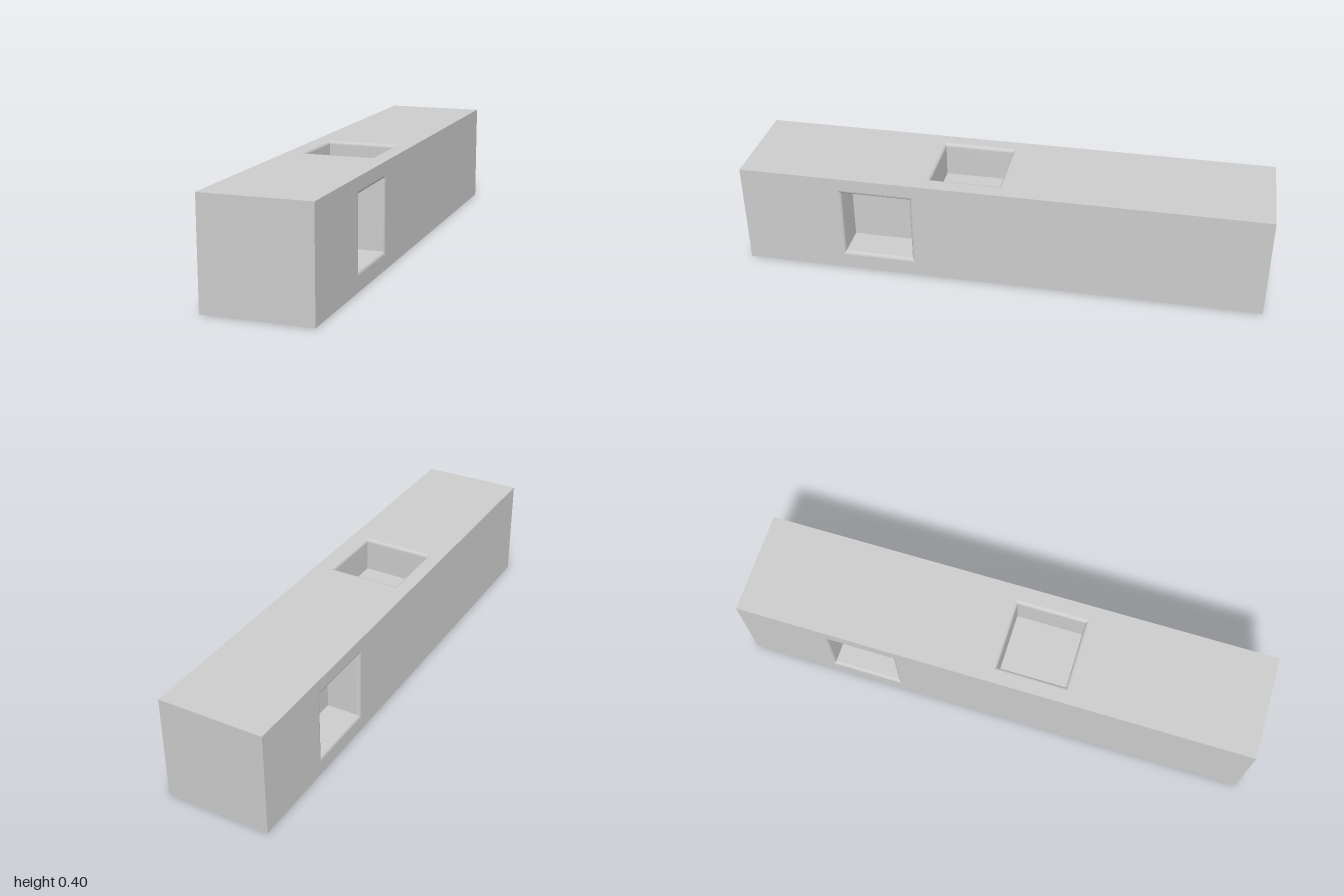
import * as THREE from 'three';

const SIZE = 0.4, LENGTH = 2;
const HALF = 0.133, DEPTH = 0.133, FILLET = 0.013; // square recess

const material = new THREE.MeshStandardMaterial({ color: 0xcccccc });

function addMesh(parent, name, geometry) {
  const mesh = new THREE.Mesh(geometry, material);
  mesh.name = name;
  parent.add(mesh);
  return mesh;
}

function rectangle(path, w, h, x = 0, y = 0) {
  return path.moveTo(x - w / 2, y - h / 2).lineTo(x + w / 2, y - h / 2)
    .lineTo(x + w / 2, y + h / 2).lineTo(x - w / 2, y + h / 2).closePath();
}

// Four walls with a rounded lip; corners between the walls stay sharp
function recessWalls() {
  const profile = [];
  const steps = 5;
  for (let i = 0; i <= steps; i++) {
    const a = (i / steps) * Math.PI / 2;
    profile.push([HALF + FILLET * (1 - Math.sin(a)), -FILLET * (1 - Math.cos(a))]);
  }
  profile.push([HALF, -DEPTH]);
  const positions = [], index = [];
  for (let side = 0; side < 4; side++) {
    const c = Math.round(Math.cos(side * Math.PI / 2)), s = Math.round(Math.sin(side * Math.PI / 2));
    const start = positions.length / 3;
    profile.forEach(([r, z], i) => {
      for (const t of [-r, r]) positions.push(c * r - s * t, s * r + c * t, z);
      if (i === 0) return;
      const b = start + 2 * i, a = b - 2;
      index.push(a, a + 1, b, a + 1, b + 1, b);
    });
  }
  const geometry = new THREE.BufferGeometry();
  geometry.setAttribute('position', new THREE.Float32BufferAttribute(positions, 3));
  geometry.setIndex(index);
  geometry.computeVertexNormals();
  return geometry;
}

// One flat side of the beam, facing its local +z, with an optional recess
function beamSide({ name, w, h, out, rx = 0, ry = 0, recess }) {
  const side = new THREE.Group();
  side.name = name;
  side.rotation.set(rx, ry, 0);
  const shape = rectangle(new THREE.Shape(), w, h);
  if (recess) {
    const opening = 2 * (HALF + FILLET);
    shape.holes.push(rectangle(new THREE.Path(), opening, opening, ...recess));
    const walls = addMesh(side, 'recessWalls', recessWalls());
    walls.position.set(...recess, out);
    const floor = addMesh(side, 'recessFloor', new THREE.PlaneGeometry(2 * HALF, 2 * HALF));
    floor.position.set(...recess, out - DEPTH);
  }
  addMesh(side, 'panel', new THREE.ShapeGeometry(shape)).position.z = out;
  return side;
}

export function createModel() {
  const beam = new THREE.Group();
  beam.name = 'beam';
  const q = Math.PI / 2, s = SIZE, l = LENGTH;
  const sides = [
    { name: 'frontEnd', w: s, h: s, out: l / 2 },
    { name: 'backEnd', w: s, h: s, out: l / 2, ry: Math.PI },
    { name: 'leftSide', w: l, h: s, out: s / 2, ry: q, recess: [-0.472, 0.005] },
    { name: 'rightSide', w: l, h: s, out: s / 2, ry: -q, recess: [-0.517, 0.005] },
    { name: 'topSide', w: s, h: l, out: s / 2, rx: -q, recess: [-0.003, -0.14] },
    { name: 'bottomSide', w: s, h: l, out: s / 2, rx: q, recess: [0, -0.19] },
  ];
  for (const side of sides) beam.add(beamSide(side));
  beam.position.y = SIZE / 2;
  const model = new THREE.Group();
  model.name = 'recessedBeam';
  model.add(beam);
  return model;
}
